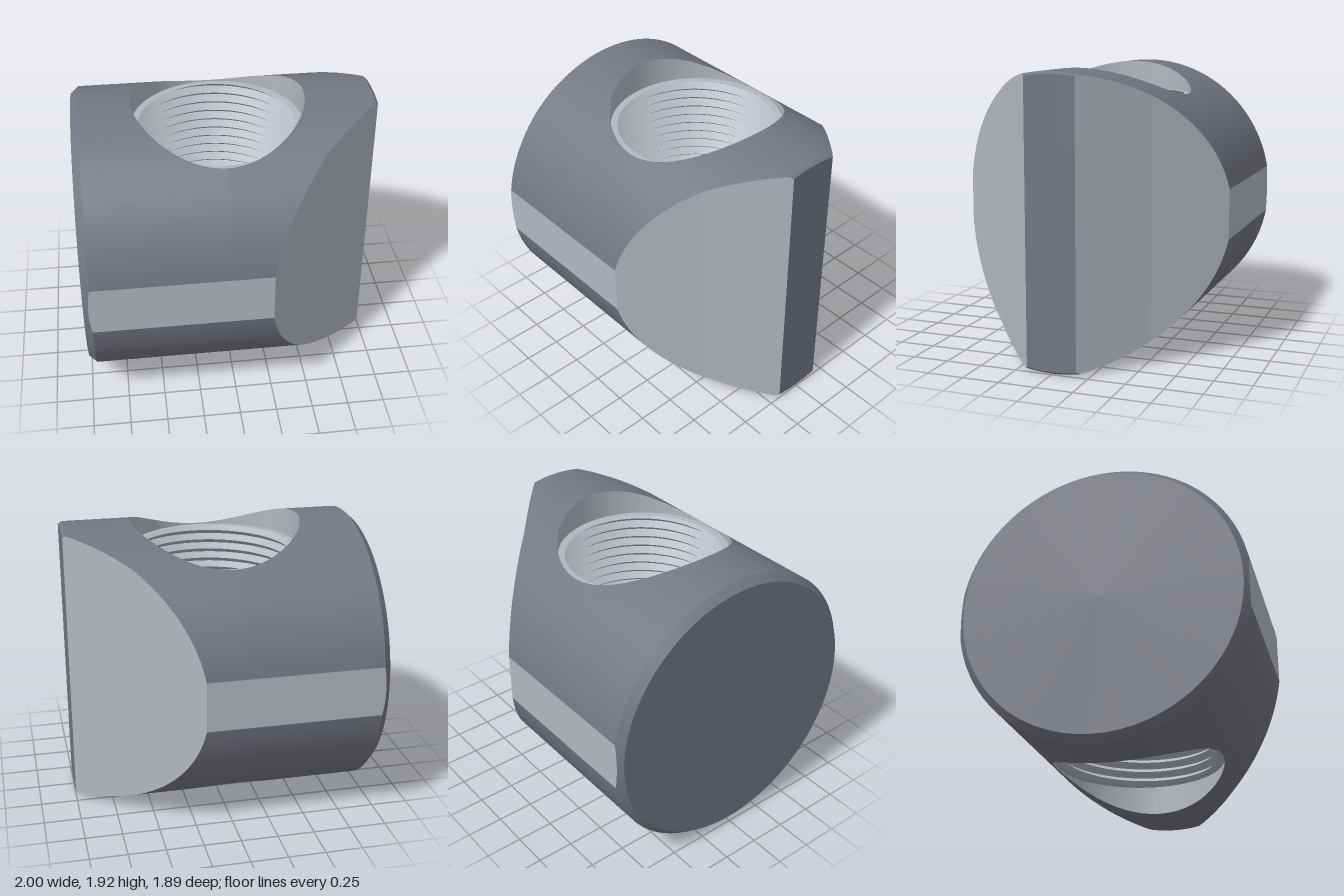
import * as THREE from 'three';
import { toCreasedNormals } from 'three/addons/utils/BufferGeometryUtils.js';

const R = 0.96;                       // barrel radius
const FLAT = 0.945;                   // distance of the side flats from the axis
const BORE = 0.575, CREST = 0.53;     // cross hole and thread crest radii
const HOLE_X = -0.04;
const END_R = 0.915;                  // back disc radius inside the chamfer
const TIP_X = 0.98, TIP_Z = 0.188;    // where the nose chamfer starts
const NOSE_R = 0.945, NOSE_Z = 0.17;  // nose face
const THREAD_TOP = 0.76, PITCH = 0.07;

// Dark turned surfaces, light machined surfaces
const dark = new THREE.MeshStandardMaterial({ color: 0x747781, side: THREE.DoubleSide });
const light = new THREE.MeshStandardMaterial({ color: 0xb3b8be, side: THREE.DoubleSide });
const height = (z, r = R) => Math.sqrt(Math.max(0, r * r - z * z));

// Right-hand limit of the barrel at depth z: the nose taper, slightly hollow
function taperX(z) {
  const d = Math.abs(z);
  if (d <= TIP_Z) return TIP_X;
  return d < 0.535
    ? THREE.MathUtils.mapLinear(d, TIP_Z, 0.535, TIP_X, 0.6)
    : THREE.MathUtils.mapLinear(d, 0.535, FLAT, 0.6, 0.22);
}

// Ruled surface between two rows of points
function strip(name, material, a, b) {
  const n = a.length, index = [];
  for (let i = 0; i < n - 1; i++) index.push(i, n + i, i + 1, n + i, n + i + 1, i + 1);
  const geometry = new THREE.BufferGeometry();
  geometry.setAttribute('position', new THREE.Float32BufferAttribute([...a, ...b].flat(), 3));
  geometry.setIndex(index);
  geometry.computeVertexNormals();
  const mesh = new THREE.Mesh(geometry, material);
  mesh.name = name;
  return mesh;
}

// Depth stations from +z to -z, dense around the hole
function depthStations() {
  const half = [TIP_Z, 0.535];
  for (let k = 1; k <= 24; k++) half.push(BORE * Math.sin((k / 24) * Math.PI / 2));
  const a0 = Math.asin(BORE / R), a1 = Math.asin(FLAT / R);
  for (let k = 1; k <= 16; k++) half.push(R * Math.sin(a0 + (a1 - a0) * k / 16));
  half.sort((p, q) => q - p);
  return [...half, 0, ...half.map(z => -z).reverse()];
}

// Upper half of the body with one flat and one taper face
function buildHalf() {
  const half = new THREE.Group();
  const zs = depthStations();
  const skin = xOf => zs.map(z => [xOf(z), height(z), z]);
  const holeHalf = z => height(z, BORE);

  // Barrel on either side of the hole
  half.add(strip('barrelBack', dark, skin(() => -0.95), skin(z => HOLE_X - holeHalf(z))));
  half.add(strip('barrelFront', dark, skin(z => HOLE_X + holeHalf(z)), skin(taperX)));

  // Side flat, whose back edge is cut by the conical chamfer
  const chamferPoint = (y, z) => [-1 + (Math.hypot(y, z) - END_R) * 0.05 / 0.045, y, z];
  const flatY = height(FLAT), flatEdge = [];
  for (let i = 0; i <= 8; i++) flatEdge.push(chamferPoint(flatY * (i / 4 - 1), FLAT));
  half.add(strip('sideFlat', light, flatEdge, flatEdge.map(p => [0.22, p[1], FLAT])));

  // Back chamfer and disc
  const outer = [...flatEdge, ...zs.map(z => chamferPoint(height(z), z))];
  const inner = outer.map(([, y, z]) => {
    const s = END_R / Math.hypot(y, z);
    return [-1, y * s, z * s];
  });
  half.add(strip('backChamfer', dark, inner, outer));
  half.add(strip('backDisc', dark, inner.map(() => [-1, 0, 0]), inner));

  // Taper face
  const edge = zs.filter(z => z >= TIP_Z).map(z => [taperX(z), height(z), z]);
  edge.push([1, height(NOSE_Z, NOSE_R), NOSE_Z]);
  half.add(strip('taperFace', light, edge, edge.map(([x, y, z]) => [x, -y, z])));

  // Nose chamfer and nose face
  const tip = zs.filter(z => Math.abs(z) <= TIP_Z);
  const nose = tip.map(z => z * NOSE_Z / TIP_Z).map(z => [1, height(z, NOSE_R), z]);
  half.add(strip('noseChamfer', dark, tip.map(z => [TIP_X, height(z), z]), nose));
  half.add(strip('noseFace', dark, nose, nose.map(p => [1, 0, p[2]])));

  // Smooth wall of the hole above the thread
  const low = [], high = [];
  for (let k = 96; k >= 0; k--) {
    const a = (k / 96) * Math.PI * 2;
    const x = HOLE_X + BORE * Math.cos(a), z = BORE * Math.sin(a);
    low.push([x, THREAD_TOP, z]);
    high.push([x, height(z), z]);
  }
  half.add(strip('holeWall', light, low, high));
  return half;
}

// Internal V thread: a ridged lathe sheared into a helix and trimmed flat
function buildThread() {
  const profile = [], segments = 96;
  for (let y = THREAD_TOP + PITCH; y > -THREAD_TOP - 2 * PITCH; y -= PITCH)
    profile.push(new THREE.Vector2(BORE, y), new THREE.Vector2(CREST, y - PITCH / 2));
  const lathe = new THREE.LatheGeometry(profile, segments);
  const pos = lathe.attributes.position;
  for (let i = 0; i < pos.count; i++) {
    const turn = Math.floor(i / profile.length) / segments;
    pos.setY(i, THREE.MathUtils.clamp(pos.getY(i) + turn * PITCH, -THREAD_TOP, THREAD_TOP));
  }
  const mesh = new THREE.Mesh(toCreasedNormals(lathe, 0.4), light);
  mesh.name = 'thread';
  mesh.position.x = HOLE_X;
  return mesh;
}

export function createModel() {
  const model = new THREE.Group();
  model.name = 'threadedBarrelNut';
  const upper = buildHalf();
  upper.name = 'upperHalf';
  const lower = upper.clone();
  lower.name = 'lowerHalf';
  lower.rotation.x = Math.PI;
  const body = new THREE.Group();
  body.name = 'body';
  body.add(upper, lower, buildThread());
  body.position.y = R;
  model.add(body);
  return model;
}
